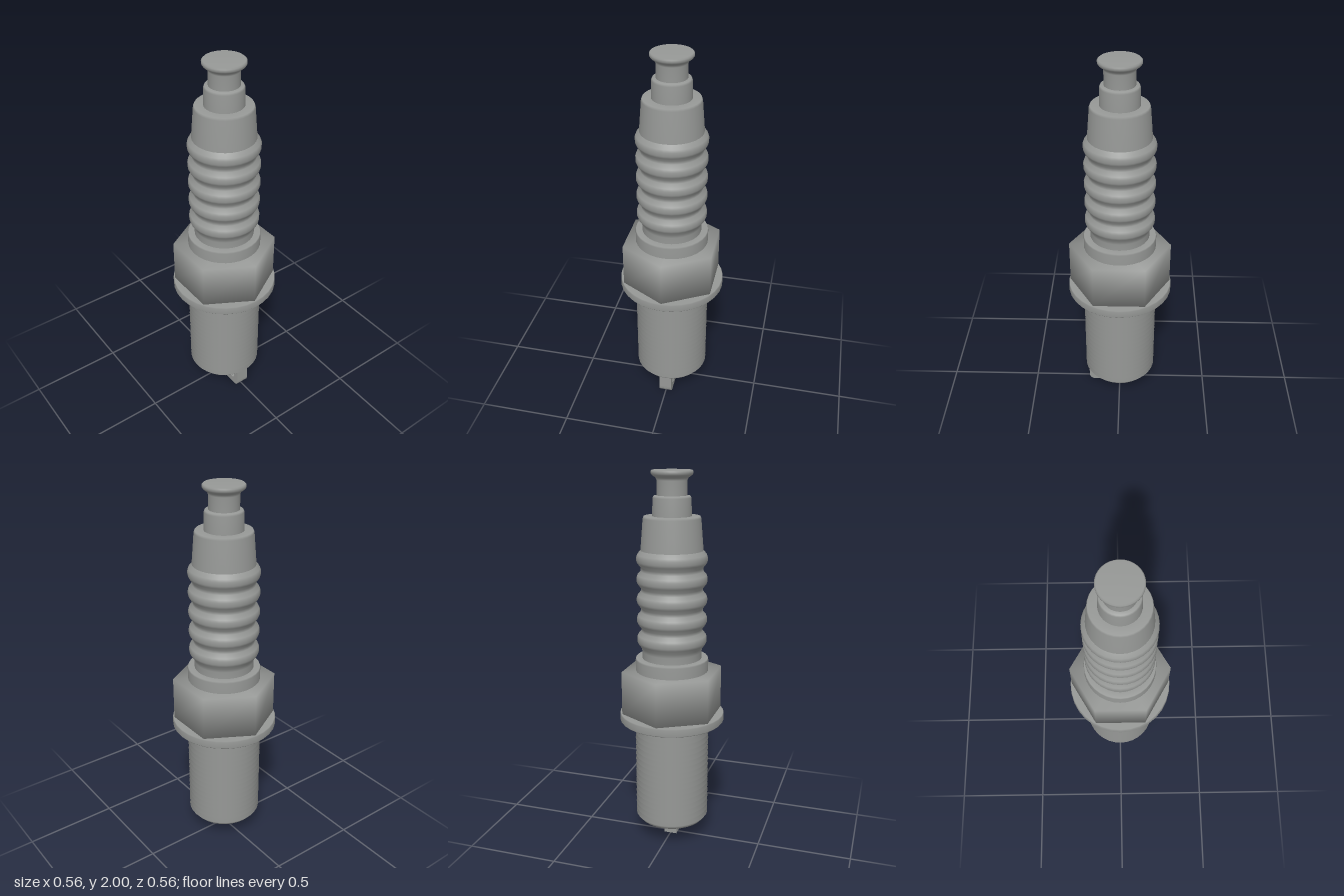
import * as THREE from 'three';
import { mergeVertices } from 'three/addons/utils/BufferGeometryUtils.js';

export function createModel() {
  const group = new THREE.Group();
  const steel = new THREE.MeshStandardMaterial({ color: 0x969896 });
  steel.name = 'steel grey';

  const add = (name, geometry) => {
    const mesh = new THREE.Mesh(geometry, steel);
    mesh.name = name;
    group.add(mesh);
    return mesh;
  };
  // Profiles are [radius, height] pairs running from bottom to top
  const turned = (name, profile, sides = 32) =>
    add(name, new THREE.LatheGeometry(profile.map(([r, y]) => new THREE.Vector2(r, y)), sides));

  // Threaded shank: a chamfered end, then evenly spaced V-shaped ridges
  const thread = [[0, 0.11], [0.18, 0.11], [0.2, 0.135]];
  const turns = 17, pitch = 0.032;
  for (let i = 0; i < turns; i++) {
    const y = 0.135 + i * pitch;
    thread.push([0.181, y + pitch / 2], [0.2, y + pitch]);
  }
  thread.push([0.19, 0.7]);
  turned('threadedShank', thread);

  // Seat flange
  turned('seatFlange', [[0, 0.69], [0.277, 0.69], [0.281, 0.695], [0.281, 0.73], [0.277, 0.735], [0, 0.735]]);

  // Hexagonal nut with corners on the x axis and softly blended normals
  let hex = new THREE.CylinderGeometry(0.273, 0.273, 0.235, 6);
  hex.rotateY(Math.PI / 6);
  hex.translate(0, 0.8525, 0);
  hex.deleteAttribute('uv');
  hex.deleteAttribute('normal');
  hex = mergeVertices(hex, 1e-4);
  hex.computeVertexNormals();
  add('hexNut', hex);

  // Collar above the nut
  turned('collar', [[0.193, 0.96], [0.193, 1.03], [0.19, 1.038], [0.15, 1.038]]);

  // Ribbed insulator with five rings and a tapering top
  const insulator = [[0.157, 1.03], [0.157, 1.075]];
  for (let i = 0; i < 5; i++) {
    const y = 1.14 + i * 0.1055;
    insulator.push([0.161, y - 0.045], [0.178, y - 0.023], [0.183, y - 0.01],
      [0.183, y + 0.01], [0.178, y + 0.023], [0.161, y + 0.043]);
  }
  insulator.push([0.161, 1.605], [0.148, 1.765], [0.143, 1.776], [0.09, 1.776]);
  turned('insulator', insulator);

  // Stepped terminal with a flared cap
  turned('terminalBase', [[0.1, 1.77], [0.098, 1.865], [0.093, 1.875], [0.07, 1.878]]);
  turned('terminalCap', [[0.077, 1.86], [0.077, 1.95], [0.083, 1.963], [0.1, 1.975],
    [0.106, 1.983], [0.106, 1.994], [0.1, 2], [0, 2]]);

  // Centre electrode
  turned('centreElectrode', [[0, 0.055], [0.03, 0.055], [0.03, 0.12]], 16);

  // Ground strap: an L-shaped bar with a rounded bend
  const strap = new THREE.Shape();
  strap.moveTo(-0.03, 0);
  strap.lineTo(0.14, 0);
  strap.quadraticCurveTo(0.181, 0, 0.181, 0.042);
  strap.lineTo(0.181, 0.12);
  strap.lineTo(0.143, 0.12);
  strap.lineTo(0.143, 0.055);
  strap.quadraticCurveTo(0.143, 0.04, 0.128, 0.04);
  strap.lineTo(-0.03, 0.04);
  strap.closePath();
  const bar = new THREE.ExtrudeGeometry(strap, { depth: 0.07, bevelEnabled: false, curveSegments: 6 });
  bar.translate(0, 0, -0.035);
  add('groundStrap', bar);

  return group;
}
